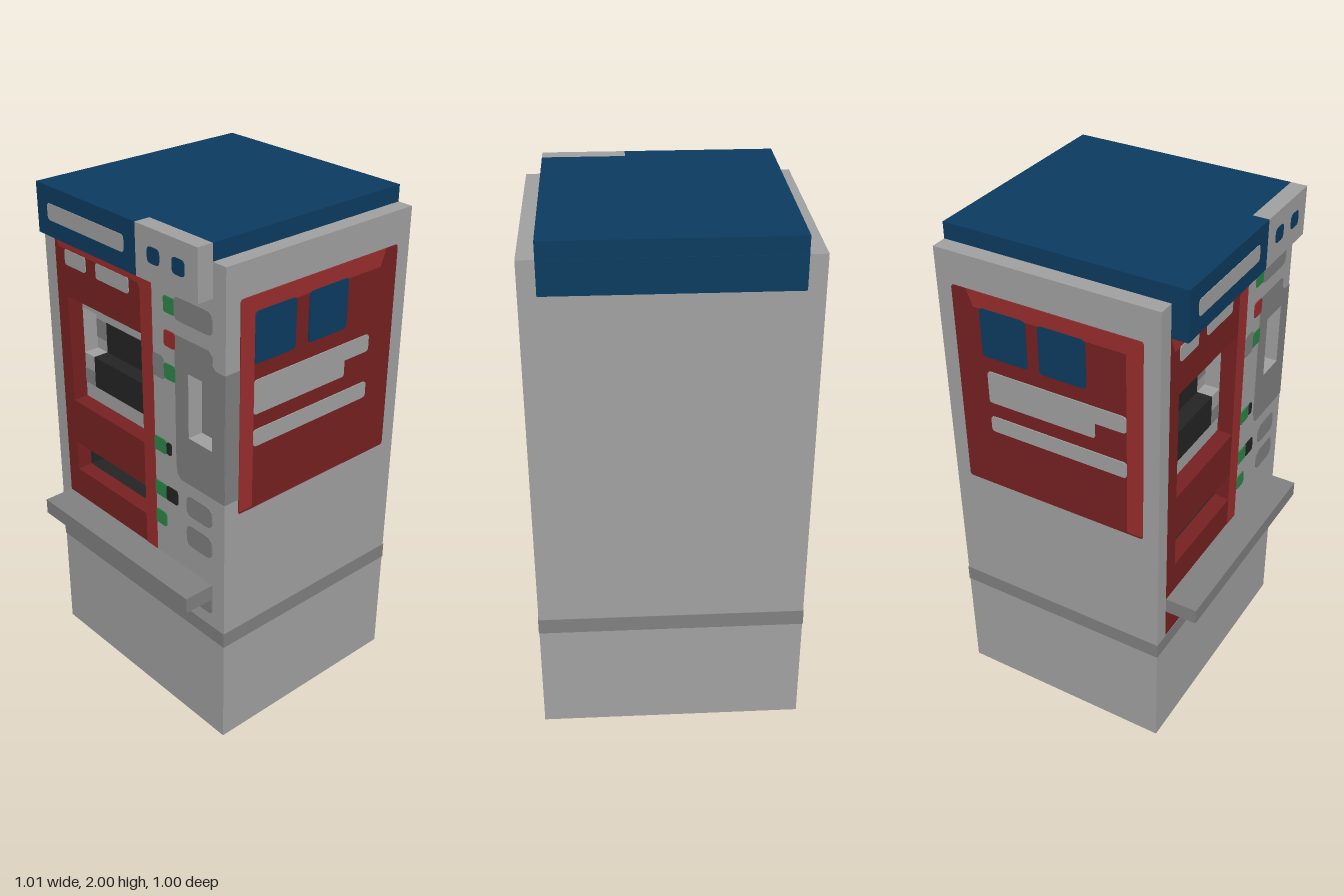
import * as THREE from 'three';

const colours = {
  lightGrey: 0xa2a2a2, midGrey: 0x818181, charcoal: 0x242424, darkRed: 0x772121,
  brightRed: 0x9b2d2d, navy: 0x0c3c61, green: 0x2f8449,
};
const U = 1 / 16;

// Rectangle outline, optionally with small rounded corners
function rect(x0, x1, y0, y1, r = 0, Type = THREE.Shape) {
  const s = new Type();
  s.moveTo(x0 + r, y0);
  s.lineTo(x1 - r, y0);
  if (r) s.quadraticCurveTo(x1, y0, x1, y0 + r);
  s.lineTo(x1, y1 - r);
  if (r) s.quadraticCurveTo(x1, y1, x1 - r, y1);
  s.lineTo(x0 + r, y1);
  if (r) s.quadraticCurveTo(x0, y1, x0, y1 - r);
  s.lineTo(x0, y0 + r);
  if (r) s.quadraticCurveTo(x0, y0, x0 + r, y0);
  return s;
}
const hole = (...a) => rect(...a, 0, THREE.Path);
const polygon = (pts) => new THREE.Shape(pts.map((p) => new THREE.Vector2(...p)));

export function createModel() {
  const model = new THREE.Group();
  const mats = {};
  for (const [name, color] of Object.entries(colours)) {
    mats[name] = new THREE.MeshStandardMaterial({ color });
    mats[name].name = name;
  }

  const box = (name, mat, x0, x1, y0, y1, z0, z1, parent = model) => {
    const m = new THREE.Mesh(new THREE.BoxGeometry(x1 - x0, y1 - y0, z1 - z0), mats[mat]);
    m.position.set((x0 + x1) / 2, (y0 + y1) / 2, (z0 + z1) / 2);
    m.name = name;
    parent.add(m);
  };
  const slab = (name, mat, shape, holes, z, depth, parent = model) => {
    shape.holes.push(...holes);
    const m = new THREE.Mesh(
      new THREE.ExtrudeGeometry(shape, { depth, bevelEnabled: false, curveSegments: 3 }), mats[mat]);
    m.position.z = z;
    m.name = name;
    parent.add(m);
  };
  // Thin painted plate; a higher level sits over a lower one
  const paint = (name, mat, shape, z = 0.375, level = 1, parent = model, holes = []) =>
    slab(name, mat, shape, holes, z, 0.002 * level, parent);

  // Cabinet: solid core and two front layers holding the recesses
  const L = -6 * U, R = U;
  box('cabinetCore', 'lightGrey', -0.5, 0.5, 0, 1.9375, -0.5, 0.25);
  slab('innerFront', 'lightGrey', rect(-0.5, 0.5, 0, 1.9375),
    [hole(L, R, 1.3125, 1.5), hole(L - 0.01, R + 0.01, 0.8025, 0.9475)], 0.25, U);
  slab('slotLining', 'charcoal', rect(L - 0.01, R + 0.01, 0.8025, 0.9475),
    [hole(L, R, 0.8125, 0.9375)], 0.25, U);
  slab('outerFront', 'lightGrey', rect(-0.5, 0.5, 0, 1.9375),
    [hole(-7 * U, 2 * U, 0.5, 1.8125), hole(5 * U, 7 * U, 1.25, 1.5)], 0.3125, U);
  slab('redFront', 'darkRed', rect(-7 * U, 2 * U, 0.5, 1.8125),
    [hole(L, R, 1.125, 1.5625), hole(L, R, 0.8125, 0.9375)], 0.3125, U);
  box('baseStripe', 'midGrey', -0.502, 0.502, 0.4375, 0.5, -0.502, 0.377);

  // Roof, header and speaker box
  box('roof', 'navy', -7 * U, 7 * U, 1.9375, 2, -0.5, 0.375);
  box('header', 'navy', -7 * U, 2 * U, 1.8125, 2, 0.375, 0.4375);
  box('speakerBox', 'lightGrey', 2 * U, 7 * U, 1.8125, 2, 0.375, 0.4375);
  box('rearHeader', 'navy', -7 * U, 7 * U, 1.8125, 1.9375, -0.502, -0.5);
  paint('headerSign', 'lightGrey', rect(L, R, 1.875, 1.9375, 0.015), 0.4375);
  for (const x of [3, 5]) {
    paint('speakerHole', 'navy', rect(x * U, (x + 1) * U, 1.88, 1.9375, 0.018), 0.4375);
  }

  // Red front trim and labels
  paint('redTrim', 'brightRed', polygon([[R, 0.5], [2 * U, 0.5], [2 * U, 1.8125],
    [-7 * U, 1.8125], [-6.6 * U, 1.75], [0.05, 1.75], [R, 1.73]]));
  paint('frontLabel', 'lightGrey', rect(L, -4 * U, 1.69, 1.75, 0.012), 0.375, 2);
  paint('frontLabel', 'lightGrey', rect(-3 * U, 0, 1.69, 1.75, 0.012), 0.375, 2);

  // Stepped screen inside its recess, and the dispensing slot
  paint('screenLower', 'charcoal', rect(-5 * U, 0, 1.1875, 1.3125), 0.3125);
  paint('screenUpper', 'charcoal', rect(-5 * U, 0, 1.3125, 1.4375), 0.25);
  box('screenLedge', 'charcoal', -5 * U, 0, 1.3125, 1.3145, 0.25, 0.3145);
  for (const x of [L, 0]) {
    paint('screenSideLower', 'midGrey', rect(x, x + U, 1.1875, 1.25), 0.3125);
    paint('screenSideUpper', 'midGrey', rect(x, x + U, 1.36, 1.4375), 0.25);
  }
  paint('slotBack', 'charcoal', rect(L, R, 0.8125, 0.9375), 0.25);

  // Control column: grey panel with pocket, pads and buttons
  paint('controlPanel', 'midGrey', polygon([[0.27, 1.0625], [0.5, 1.0625], [0.5, 1.5625],
    [0.455, 1.5625], [0.4375, 1.58], [0.4375, 1.61], [0.42, 1.625], [0.245, 1.625],
    [0.245, 1.12], [0.252, 1.08]]), 0.375, 1, model, [hole(5 * U, 7 * U, 1.25, 1.5)]);
  paint('pocketBack', 'midGrey', rect(5 * U, 7 * U, 1.25, 1.5), 0.3125);
  const controls = [
    ['pad', 'midGrey', 0.245, 0.4375, 1.68, 1.765, 0.025],
    ['pad', 'midGrey', 0.3, 0.4375, 0.93, 1.015, 0.03],
    ['pad', 'midGrey', 0.3, 0.4375, 0.8, 0.89, 0.03],
    ['pad', 'midGrey', 0.24, 0.4375, 0.555, 0.64, 0.02],
    ['pad', 'midGrey', 0.127, 0.1875, 1.43, 1.52, 0.015],
    ['button', 'green', 0.19, 0.248, 1.69, 1.75, 0.01],
    ['button', 'brightRed', 0.19, 0.248, 1.565, 1.625, 0.01],
    ['button', 'green', 0.1875, 0.248, 1.44, 1.5, 0.01],
    ['button', 'green', 0.125, 0.19, 1.13, 1.1875, 0.008],
    ['coinHole', 'charcoal', 0.192, 0.22, 1.135, 1.185, 0.012],
    ['button', 'green', 0.125, 0.1875, 0.94, 1, 0.005],
    ['coinHole', 'charcoal', 0.1875, 0.25, 0.94, 1, 0.01],
    ['button', 'green', 0.125, 0.185, 0.815, 0.875, 0.012],
  ];
  for (const [name, mat, ...r] of controls) paint(name, mat, rect(...r), 0.375, 2);

  // Hand rail
  box('handRail', 'midGrey', -7 * U, 7 * U, 0.625, 0.6875, 0.375, 0.5);

  // Side panels, drawn in each wall's own plane
  const wall = (name, side) => {
    const g = new THREE.Group();
    g.name = name;
    g.position.x = side * 0.5;
    g.rotation.y = side * Math.PI / 2;
    model.add(g);
    return g;
  };
  const sidePanel = (g, side, windows, start, end, step) => {
    const f = (u) => side * u; // front edge is at negative u on the +x wall
    const span = (a, b, y0, y1, r) => rect(Math.min(a, b), Math.max(a, b), y0, y1, r);
    paint('sideBoard', 'darkRed', span(f(-0.3125), f(0.4375), 1, 1.8125, 0.012), 0, 1, g);
    paint('sideTrim', 'brightRed', polygon([[f(-0.3125), 1.01], [f(-0.25), 1.01],
      [f(-0.25), 1.75], [f(0.35), 1.75], [f(0.375), 1.8125], [f(-0.305), 1.8125],
      [f(-0.3125), 1.805]]), 0, 2, g);
    for (const [a, b] of windows) {
      paint('sideWindow', 'navy', rect(a, b, 1.565, 1.755, 0.015), 0, 3, g);
    }
    paint('sideText', 'lightGrey', rect(start, end, 1.4375, 1.505, 0.015), 0, 3, g);
    paint('sideText', 'lightGrey', rect(start, step, 1.375, 1.45, 0.01), 0, 3, g);
    paint('sideText', 'lightGrey', rect(start, end, 1.25, 1.315, 0.015), 0, 3, g);
  };
  const leftWall = wall('leftSide', 1), rightWall = wall('rightSide', -1);
  sidePanel(leftWall, 1, [[-0.25, -0.0625], [0, 0.1875]], -0.25, 0.3125, 0.19);
  sidePanel(rightWall, -1, [[-0.325, -0.14], [-0.09, 0.095]], -0.3125, 0.25, 0.125);
  paint('controlPanelWrap', 'midGrey', rect(-0.375, -0.3125, 1.0625, 1.5625), 0, 1, leftWall);

  return model;
}
